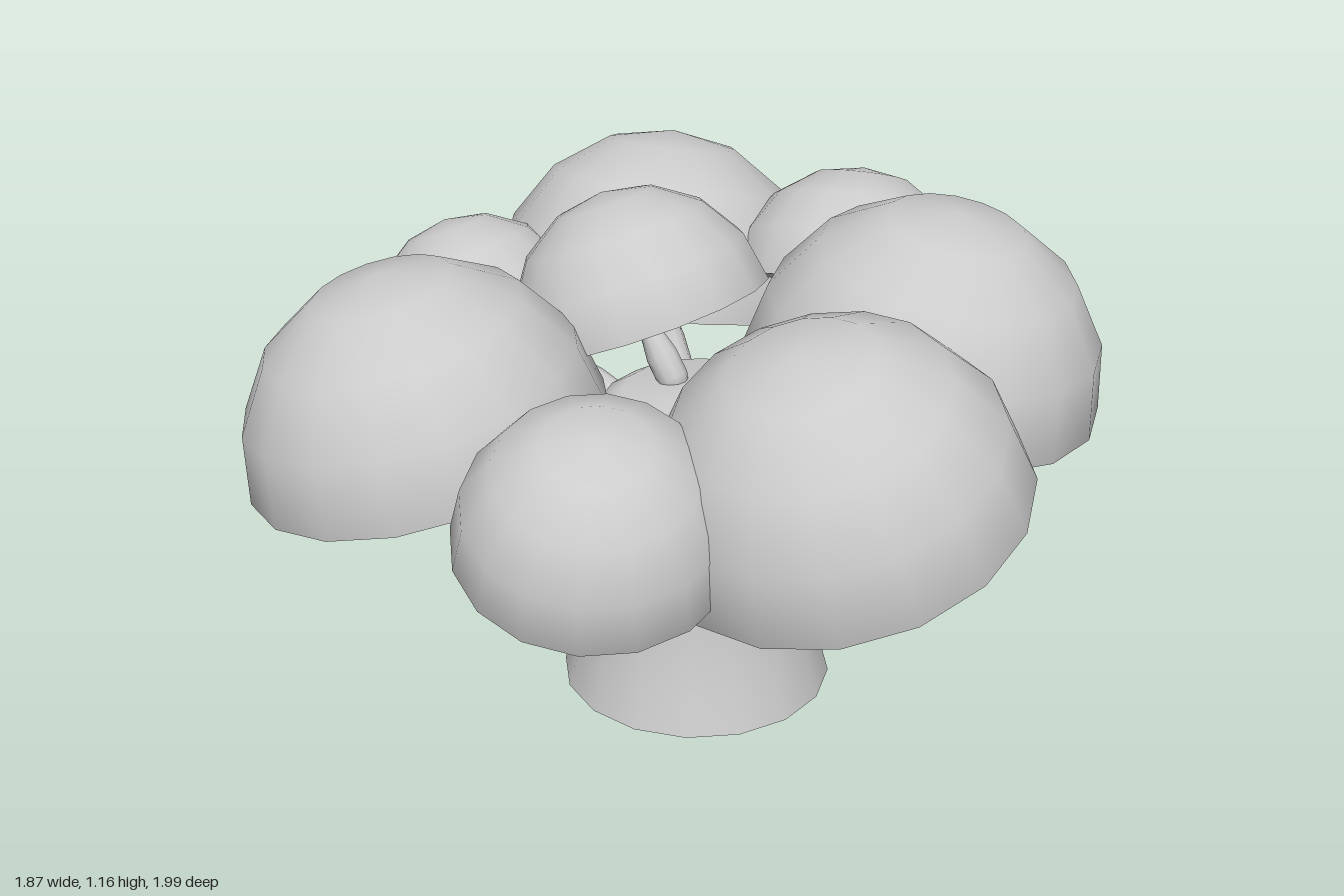
import * as THREE from 'three';

const material = new THREE.MeshStandardMaterial({ color: 0xcccccc });
const openMaterial = new THREE.MeshStandardMaterial({ color: 0xcccccc, side: THREE.DoubleSide });
const UP = new THREE.Vector3(0, 1, 0);
const TRUNK_X = 0.08;

// Each cap: centre of its rim, radius, and the direction its crown leans towards
const CAPS = [
  { name: 'frontCap', at: [0.18, 0.72, 0.6], r: 0.4, lean: [-0.31, 1, 0.13] },
  { name: 'leftCap', at: [0.54, 0.77, 0.17], r: 0.4, lean: [0.13, 1, 0.12] },
  { name: 'rightCap', at: [-0.54, 0.71, 0.04], r: 0.4, lean: [-0.23, 1, -0.06] },
  { name: 'backCap', at: [0.17, 0.7, -0.6], r: 0.4, lean: [0.18, 1, -0.2] },
  { name: 'smallFrontRightCap', at: [-0.32, 0.71, 0.56], r: 0.29, lean: [-0.08, 1, 0.36] },
  { name: 'smallBackLeftCap', at: [0.55, 0.79, -0.28], r: 0.29, lean: [0.28, 1, -0.43] },
  { name: 'smallBackRightCap', at: [-0.29, 0.71, -0.53], r: 0.26, lean: [-0.25, 1, -0.35] },
  { name: 'centreCap', at: [-0.01, 0.86, -0.12], r: 0.295, lean: [-0.25, 1, -0.35] },
];

function lathe(points, segments) {
  return new THREE.LatheGeometry(points.map(([r, y]) => new THREE.Vector2(r, y)), segments);
}

// Hemisphere with a flat underside
function makeCap({ name, at, r, lean }) {
  const cap = new THREE.Group();
  cap.name = name;

  const dome = new THREE.Mesh(
    new THREE.SphereGeometry(r, 16, 4, 0, Math.PI * 2, 0, Math.PI / 2), material);
  dome.name = 'dome';

  const underside = new THREE.Mesh(new THREE.CircleGeometry(r, 16), material);
  underside.name = 'underside';
  underside.rotation.x = Math.PI / 2;

  cap.add(dome, underside);
  cap.position.set(...at);
  cap.quaternion.setFromUnitVectors(UP, new THREE.Vector3(...lean).normalize());
  return cap;
}

// Tapered spindle from the trunk to the underside of a cap
function makeBranch(start, end) {
  const length = start.distanceTo(end);
  const profile = [[0, 0], [0.025, 0.02], [0.036, 0.2], [0.036, 0.5], [0.025, 0.8], [0.012, 1], [0, 1.02]];
  const branch = new THREE.Mesh(lathe(profile.map(([r, t]) => [r, t * length]), 10), material);
  branch.name = 'branch';
  branch.position.copy(start);
  branch.quaternion.setFromUnitVectors(UP, end.clone().sub(start).normalize());
  return branch;
}

export function createModel() {
  const model = new THREE.Group();
  model.name = 'mushroomTree';

  // Flared trunk, rounded at the top and open below
  const trunk = new THREE.Mesh(lathe([
    [0.312, 0], [0.285, 0.1], [0.264, 0.2], [0.252, 0.3], [0.245, 0.4],
    [0.246, 0.58], [0.24, 0.65], [0.22, 0.69], [0.17, 0.72], [0, 0.735],
  ], 16), openMaterial);
  trunk.name = 'trunk';
  trunk.position.x = TRUNK_X;
  model.add(trunk);

  for (const cap of CAPS) {
    model.add(makeCap(cap));

    // One branch carries each cap, starting just inside the trunk
    const end = new THREE.Vector3(...cap.at);
    const outward = new THREE.Vector3(end.x - TRUNK_X, 0, end.z).normalize();
    const isCentre = cap.name === 'centreCap';
    const start = outward.multiplyScalar(isCentre ? 0.05 : 0.21);
    start.x += TRUNK_X;
    start.y = isCentre ? 0.7 : 0.64;
    model.add(makeBranch(start, end));
  }
  return model;
}
